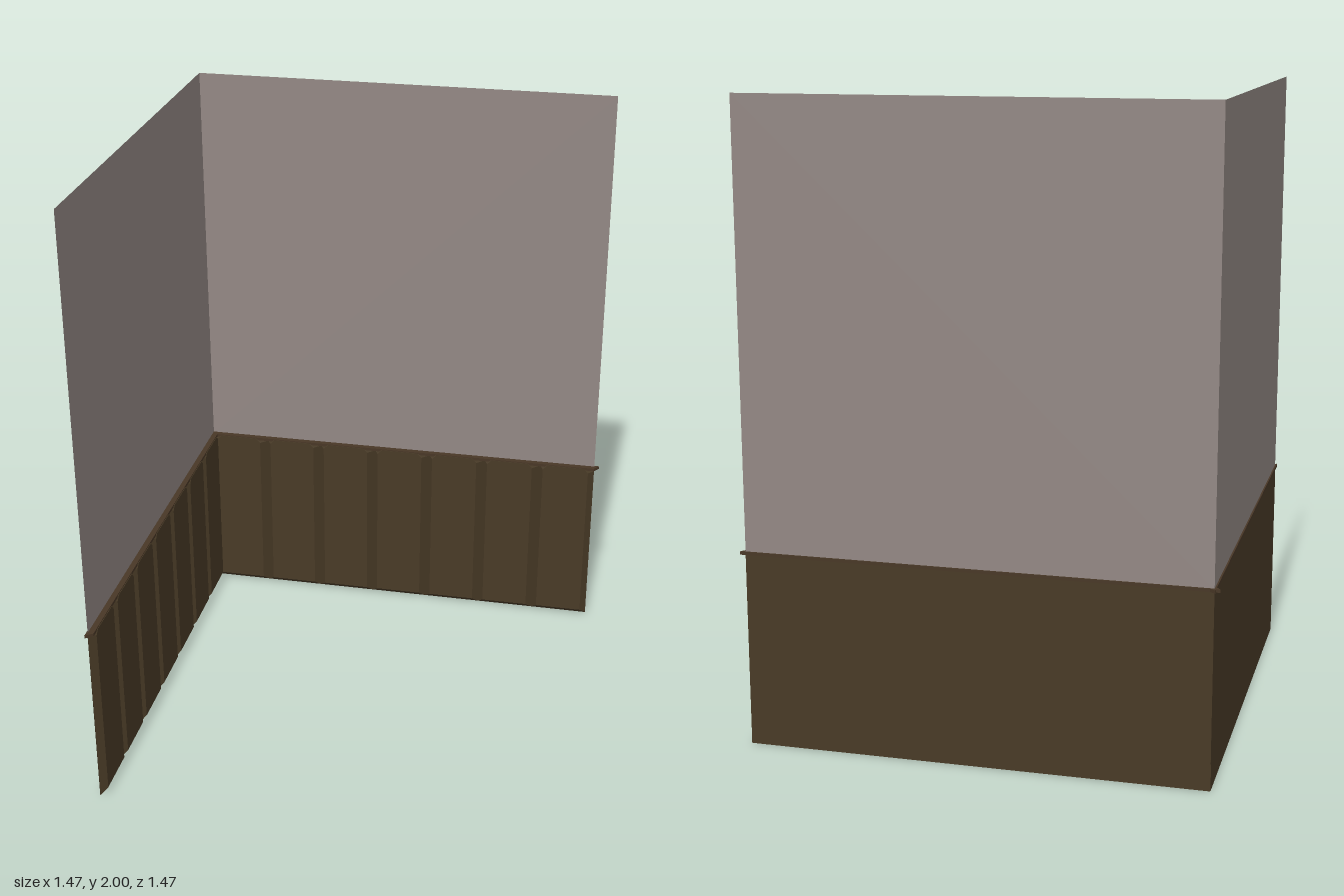
import * as THREE from 'three';

const HALF = 0.718, DADO = 0.618, TOP = 2, COUNT = 7, DEPTH = 0.021;

// Raised board: bevelled sides and foot, clipped upper corners, open back
function boardGeometry(w, h, d) {
  const b = 0.02, c = 0.016, x = w / 2;
  const outer = [[-x, 0], [x, 0], [x, h - c], [x, h], [-x, h], [-x, h - c]];
  const inner = [[-x + b, b], [x - b, b], [x - b, h - c], [x - b - c, h], [-x + b + c, h], [-x + b, h - c]];
  const pos = [];
  const tri = (...pts) => pts.forEach((p) => pos.push(...p));
  const o = outer.map((p) => [...p, 0]);
  const f = inner.map((p) => [...p, d]);
  for (let i = 0; i < 6; i++) {
    const j = (i + 1) % 6;
    tri(o[i], o[j], f[j]);
    tri(o[i], f[j], f[i]);
    if (i > 0 && i < 5) tri(f[0], f[i], f[j]);
  }
  const g = new THREE.BufferGeometry();
  g.setAttribute('position', new THREE.Float32BufferAttribute(pos, 3));
  g.computeVertexNormals();
  return g;
}

export function createModel() {
  const model = new THREE.Group();
  model.name = 'panelledCorner';

  const plaster = new THREE.MeshStandardMaterial({ name: 'warmGreyPlaster', color: 0x938884, side: THREE.DoubleSide });
  const wood = new THREE.MeshStandardMaterial({ name: 'darkWood', color: 0x483a26, side: THREE.DoubleSide });
  const trim = new THREE.MeshStandardMaterial({ name: 'railWood', color: 0x483726 });

  const add = (parent, name, geometry, material, x, y, z) => {
    const mesh = new THREE.Mesh(geometry, material);
    mesh.name = name;
    mesh.position.set(x, y, z);
    parent.add(mesh);
  };

  const pitch = (2 * HALF) / COUNT;
  const board = boardGeometry(pitch, DADO, DEPTH);
  const upper = new THREE.PlaneGeometry(2 * HALF, TOP - DADO);
  const backing = new THREE.PlaneGeometry(2 * HALF, DADO);

  // Rail with splayed ends
  const railShape = new THREE.Shape([[-0.718, 0.699], [0.718, 0.699], [0.735, 0.723], [-0.735, 0.723]]
    .map(([x, y]) => new THREE.Vector2(x, y)));
  const rail = new THREE.ExtrudeGeometry(railShape, { depth: 0.01, bevelEnabled: false });
  rail.rotateX(-Math.PI / 2);

  // The same wall at the back and, turned a quarter, at the side
  ['backWall', 'sideWall'].forEach((name, k) => {
    const wall = new THREE.Group();
    wall.name = name;
    add(wall, 'upperWall', upper, plaster, 0, (TOP + DADO) / 2, -HALF);
    add(wall, 'panelBacking', backing, wood, 0, DADO / 2, -HALF - 0.001);
    for (let i = 0; i < COUNT; i++) {
      add(wall, 'wallBoard', board, wood, -HALF + pitch * (i + 0.5), 0, -HALF);
    }
    add(wall, 'dadoRail', rail, trim, 0, 0.612, 0);
    wall.rotation.y = k * Math.PI / 2;
    model.add(wall);
  });

  return model;
}
